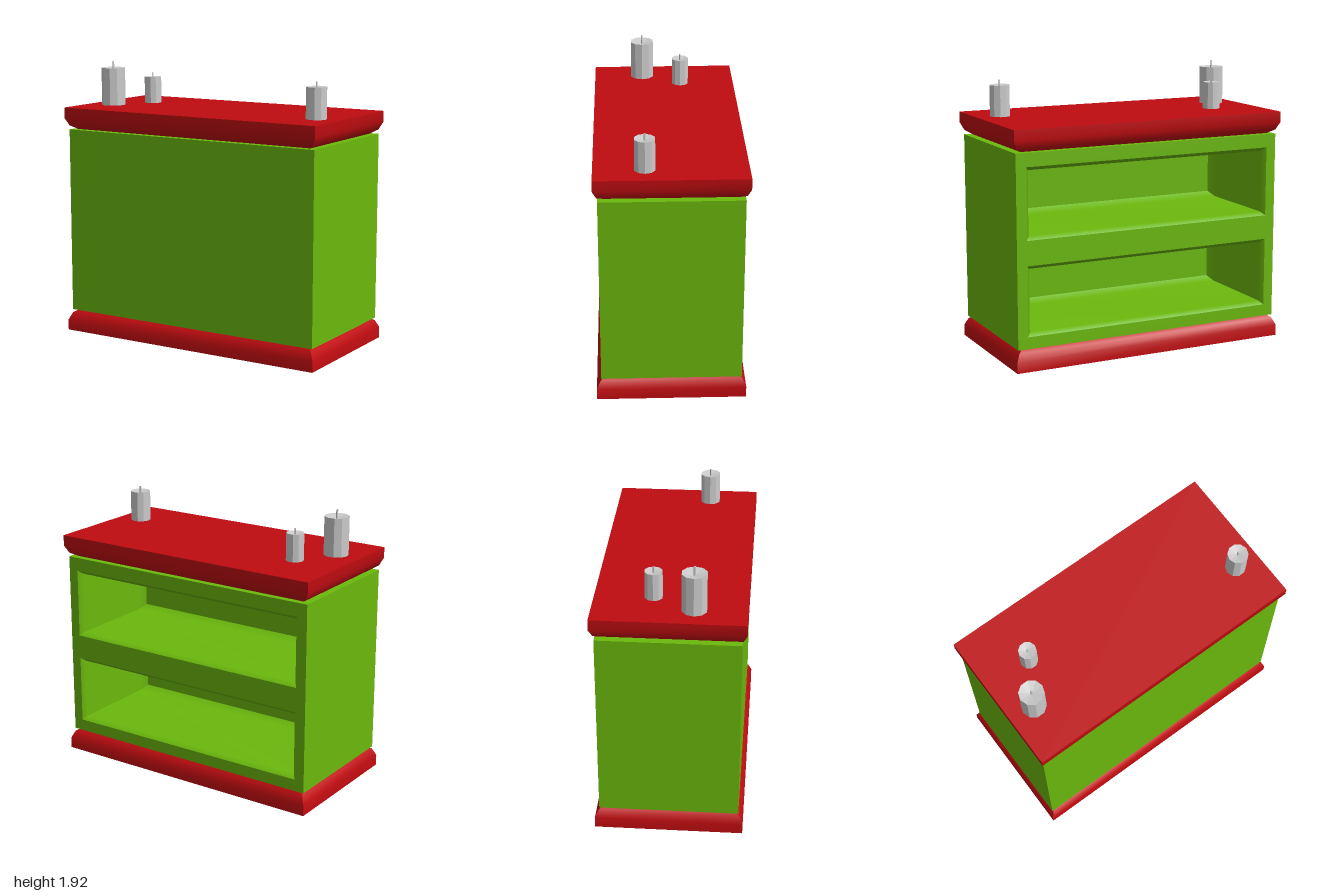
import * as THREE from 'three';
import { mergeGeometries } from 'three/addons/utils/BufferGeometryUtils.js';

const red = new THREE.MeshStandardMaterial({ color: 0xc00c10 });
const green = new THREE.MeshStandardMaterial({ color: 0x6bb80d });
const grey = new THREE.MeshStandardMaterial({ color: 0xcccccc, flatShading: true });

// Rectangular sections [halfWidth, halfHeight, z] joined by four strips, smooth along
// each strip, closed by a cap on the last section. inward turns it into a recess.
function rectLoft(sections, inward = false) {
  const corners = [[-1, -1], [1, -1], [1, 1], [-1, 1]];
  const parts = [];
  const add = (pos, idx) => {
    const g = new THREE.BufferGeometry();
    g.setAttribute('position', new THREE.Float32BufferAttribute(pos, 3));
    if (inward) idx.reverse();
    g.setIndex(idx);
    g.computeVertexNormals();
    parts.push(g);
  };
  const point = ([w, h, z], [cx, cy]) => [cx * w, cy * h, z];
  corners.forEach((c, i) => {
    const next = corners[(i + 1) % 4];
    const pos = sections.flatMap((s) => [...point(s, c), ...point(s, next)]);
    const idx = [];
    for (let k = 0; k < sections.length - 1; k++) {
      const a = k * 2;
      idx.push(a, a + 1, a + 3, a, a + 3, a + 2);
    }
    add(pos, idx);
  });
  const last = sections[sections.length - 1];
  add(corners.flatMap((c) => point(last, c)), [0, 1, 2, 0, 2, 3]);
  return mergeGeometries(parts);
}

function addMesh(parent, name, geometry, material, x = 0, y = 0, z = 0) {
  const m = new THREE.Mesh(geometry, material);
  m.name = name;
  m.position.set(x, y, z);
  parent.add(m);
  return m;
}

export function createModel() {
  const group = new THREE.Group();
  group.name = 'shopCounter';

  // Plinth and worktop share one bevelled slab, mirrored vertically
  const slab = [[1, 0.5, 0], [1, 0.5, 0.075], [0.975, 0.475, 0.128], [0.93, 0.43, 0.155]];
  addMesh(group, 'plinth', rectLoft(slab), red).rotation.x = -Math.PI / 2;
  addMesh(group, 'worktop', rectLoft(slab), red, 0, 1.615).rotation.x = Math.PI / 2;
  const face = new THREE.PlaneGeometry(2, 1);
  addMesh(group, 'underside', face, green).rotation.x = Math.PI / 2;
  addMesh(group, 'worktopSurface', face, red, 0, 1.615).rotation.x = -Math.PI / 2;

  // Cabinet shell: five closed sides
  const cabinet = new THREE.Group();
  cabinet.name = 'cabinet';
  group.add(cabinet);
  const W = 0.98, D = 0.47, y0 = 0.148, y1 = 1.458;
  const H = y1 - y0, mid = (y0 + y1) / 2;
  const panel = (name, w, h, x, y, z, rx, ry) =>
    addMesh(cabinet, name, new THREE.PlaneGeometry(w, h), green, x, y, z).rotation.set(rx, ry, 0);
  panel('frontPanel', 2 * W, H, 0, mid, D, 0, 0);
  panel('cabinetTop', 2 * W, 2 * D, 0, y1, 0, -Math.PI / 2, 0);
  panel('cabinetBottom', 2 * W, 2 * D, 0, y0, 0, Math.PI / 2, 0);
  for (const s of [-1, 1]) {
    panel(s > 0 ? 'leftPanel' : 'rightPanel', 2 * D, H, s * W, mid, 0, 0, s * Math.PI / 2);
  }

  // Back frame with two openings, each leading into a recessed shelf bay
  const rectPath = (P, w, b, t) => {
    const p = new P();
    p.moveTo(-w, b).lineTo(w, b).lineTo(w, t).lineTo(-w, t).closePath();
    return p;
  };
  const frame = rectPath(THREE.Shape, W, y0, y1);
  const bays = [['lowerShelfBay', 0.23, 0.71], ['upperShelfBay', 0.88, 1.365]];
  for (const [name, b, t] of bays) {
    const w = 0.91, h = (t - b) / 2;
    frame.holes.push(rectPath(THREE.Path, w, b, t));
    const bay = rectLoft([
      [w, h, 0], [w - 0.025, h - 0.025, 0.03],
      [w - 0.025, h - 0.025, 0.66], [w - 0.06, h - 0.06, 0.71],
    ], true);
    addMesh(cabinet, name, bay, green, 0, (b + t) / 2, -D);
  }
  addMesh(cabinet, 'backFrame', new THREE.ShapeGeometry(frame), green, 0, 0, -D).rotation.y = Math.PI;
  // the frame is symmetric in x, so turning it to face backwards keeps the openings aligned

  // Candles: ten-sided with a dished top and a thin wick
  const candles = [[-0.82, 0.157, 0.084, 1.88, 1.925], [-0.665, -0.115, 0.06, 1.802, 1.832],
    [0.83, 0.167, 0.07, 1.828, 1.862]];
  for (const [x, z, r, top, tip] of candles) {
    const candle = new THREE.Group();
    candle.name = 'candle';
    candle.position.set(x, 1.61, z);
    candle.rotation.y = Math.PI / 2;
    group.add(candle);
    const h = top - 1.61, dish = r * 0.22;
    const profile = [[r, 0], [r, h], [0, h - dish]].map(([a, b]) => new THREE.Vector2(a, b));
    addMesh(candle, 'wax', new THREE.LatheGeometry(profile, 10), grey);
    const len = tip - top + dish;
    addMesh(candle, 'wick', new THREE.CylinderGeometry(r * 0.09, r * 0.09, len, 6), grey, 0, h - dish + len / 2);
  }
  return group;
}
